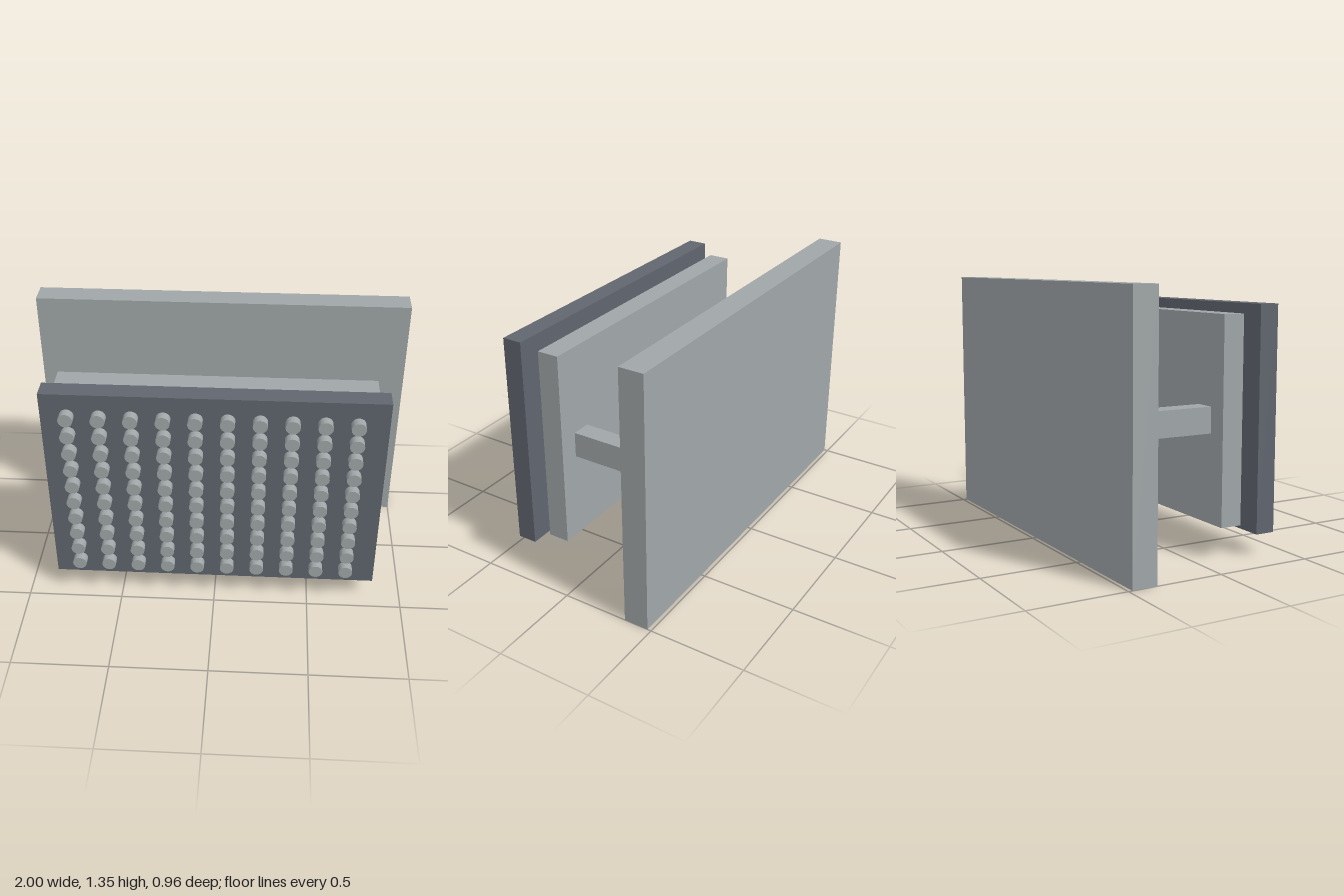
import * as THREE from 'three';

export function createModel() {
  const model = new THREE.Group();
  const lightGrey = new THREE.MeshStandardMaterial({ color: 0xa0a6a8 });
  lightGrey.name = 'light grey';
  const slate = new THREE.MeshStandardMaterial({ color: 0x60666f });
  slate.name = 'slate grey';

  function add(name, geometry, material, x, y, z, parent = model) {
    const mesh = new THREE.Mesh(geometry, material);
    mesh.name = name;
    mesh.position.set(x, y, z);
    parent.add(mesh);
    return mesh;
  }

  // Box given by its extents on each axis
  function slab(name, material, [x0, x1], [y0, y1], [z0, z1]) {
    const geometry = new THREE.BoxGeometry(x1 - x0, y1 - y0, z1 - z0);
    return add(name, geometry, material, (x0 + x1) / 2, (y0 + y1) / 2, (z0 + z1) / 2);
  }

  // Faceted cylinder standing on y
  function facetedCylinder(radius, length, sides) {
    const geometry = new THREE.CylinderGeometry(radius, radius, length, sides).toNonIndexed();
    geometry.computeVertexNormals();
    return geometry;
  }

  // Three upright plates
  slab('backPlate', lightGrey, [-1, 1], [0, 1.35], [-0.48, -0.35]);
  slab('middlePlate', lightGrey, [-0.805, 0.802], [0.157, 1.197], [0.138, 0.252]);
  slab('frontPlate', slate, [-0.85, 0.847], [0.111, 1.243], [0.318, 0.421]);

  // Arms joining the back and middle plates
  slab('rightArm', lightGrey, [-0.705, -0.6], [0.61, 0.743], [-0.35, 0.138]);
  slab('leftArm', lightGrey, [0.598, 0.7], [0.61, 0.743], [-0.35, 0.138]);

  // Loose roller low between the plates
  const roller = add('roller', facetedCylinder(0.087, 0.735, 32), lightGrey, -0.003, 0.216, -0.084);
  roller.rotation.z = Math.PI / 2;

  // Ten by ten grid of pegs floating before the front plate
  const pegs = new THREE.Group();
  pegs.name = 'pegs';
  model.add(pegs);
  const pegGeometry = facetedCylinder(0.036, 0.048, 32).rotateX(Math.PI / 2);
  for (let row = 0; row < 10; row++) {
    for (let column = 0; column < 10; column++) {
      add('peg', pegGeometry, lightGrey, -0.715 + column * 0.1565, 0.216 + row * 0.1017, 0.457, pegs);
    }
  }

  return model;
}
